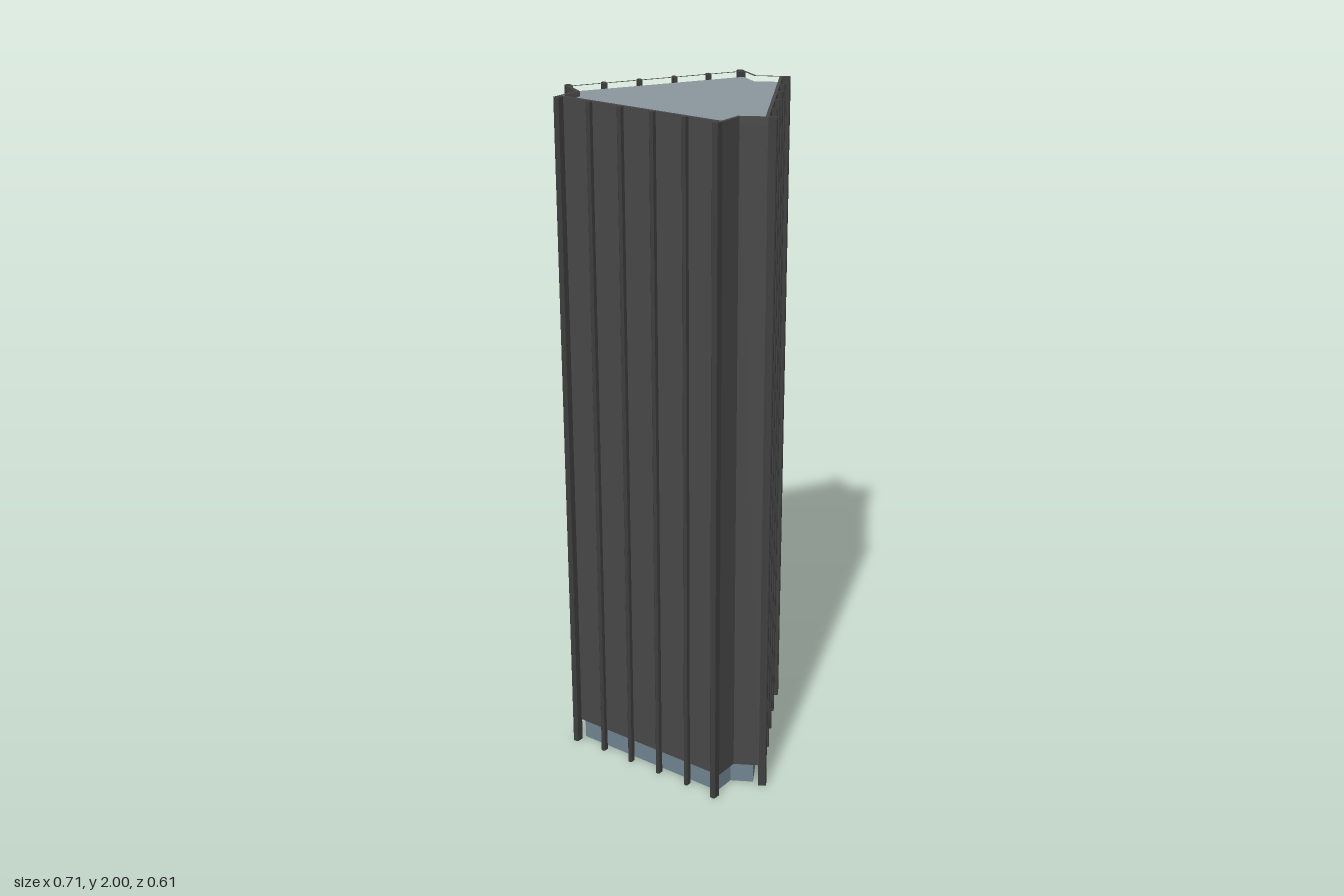
import * as THREE from 'three';

const CENTRE_Z = -0.054; // axis of the three-fold plan
const SIDE = 0.231;      // axis to each long face
const HALF = 0.27;       // half length of each long face
const NOTCH = 0.153;     // depth of the corner notch measured from the axis

const shell = new THREE.MeshStandardMaterial({ color: 0x484848 });
shell.name = 'charcoal cladding';
const finDark = new THREE.MeshStandardMaterial({ color: 0x3e3e3e });
finDark.name = 'dark fins';
const glass = new THREE.MeshStandardMaterial({ color: 0x708490, side: THREE.DoubleSide });
glass.name = 'blue grey lobby glass';
const roofGrey = new THREE.MeshStandardMaterial({ color: 0x8c969e });
roofGrey.name = 'pale roof';

// Notched triangle outline, moved inwards by a given inset
function outline(inset) {
  const d = SIDE - inset, h = HALF - inset;
  const n = h * Math.tan(Math.PI / 6);
  const points = [];
  for (let k = 0; k < 3; k++) {
    const a = -k * Math.PI * 2 / 3;
    for (const [x, y] of [[-h, n], [-h, d], [h, d]]) {
      points.push(new THREE.Vector2(
        x * Math.cos(a) - y * Math.sin(a),
        x * Math.sin(a) + y * Math.cos(a) - CENTRE_Z));
    }
  }
  return points;
}

// Vertical prism of the plan, hollow when an inner inset is given
function prism(name, material, inset, y0, y1, innerInset) {
  const shape = new THREE.Shape(outline(inset));
  if (innerInset !== undefined) shape.holes.push(new THREE.Path(outline(innerInset)));
  const geometry = new THREE.ExtrudeGeometry(shape, { depth: y1 - y0, bevelEnabled: false });
  geometry.rotateX(-Math.PI / 2);
  geometry.translate(0, y0, 0);
  const mesh = new THREE.Mesh(geometry, material);
  mesh.name = name;
  return mesh;
}

// Full-height fin with chamfered outer corners
function fin(name, width, depth, x) {
  const w = width / 2, c = 0.003;
  const shape = new THREE.Shape([
    [-w, -0.002], [w, -0.002], [w, depth - c], [w - c, depth], [-w + c, depth], [-w, depth - c],
  ].map(([px, py]) => new THREE.Vector2(px, py)));
  const geometry = new THREE.ExtrudeGeometry(shape, { depth: 2, bevelEnabled: false });
  geometry.rotateX(-Math.PI / 2);
  const mesh = new THREE.Mesh(geometry, finDark);
  mesh.name = name;
  mesh.position.set(x, 0, -SIDE);
  return mesh;
}

export function createModel() {
  const tower = new THREE.Group();
  tower.name = 'tower';

  // Recessed ground floor, open below
  tower.add(prism('lobbyWalls', glass, 0.018, 0, 0.072, 0.021));

  // Cladding, parapet and sunken roof
  tower.add(prism('cladding', shell, 0, 0.07, 1.98));
  tower.add(prism('parapet', shell, 0, 1.98, 2, 0.009));
  tower.add(prism('roof', roofGrey, 0.009, 1.98, 1.985));

  // Fins on each of the three long faces
  for (let k = 0; k < 3; k++) {
    const face = new THREE.Group();
    face.name = 'faceFins' + (k + 1);
    face.position.z = CENTRE_Z;
    face.rotation.y = k * Math.PI * 2 / 3;
    for (const s of [-1, 1]) {
      face.add(fin('cornerFin', 0.018, 0.022, s * 0.261));
      for (const x of [0.053, 0.158]) face.add(fin('slimFin', 0.013, 0.015, s * x));
    }
    tower.add(face);
  }
  return tower;
}
